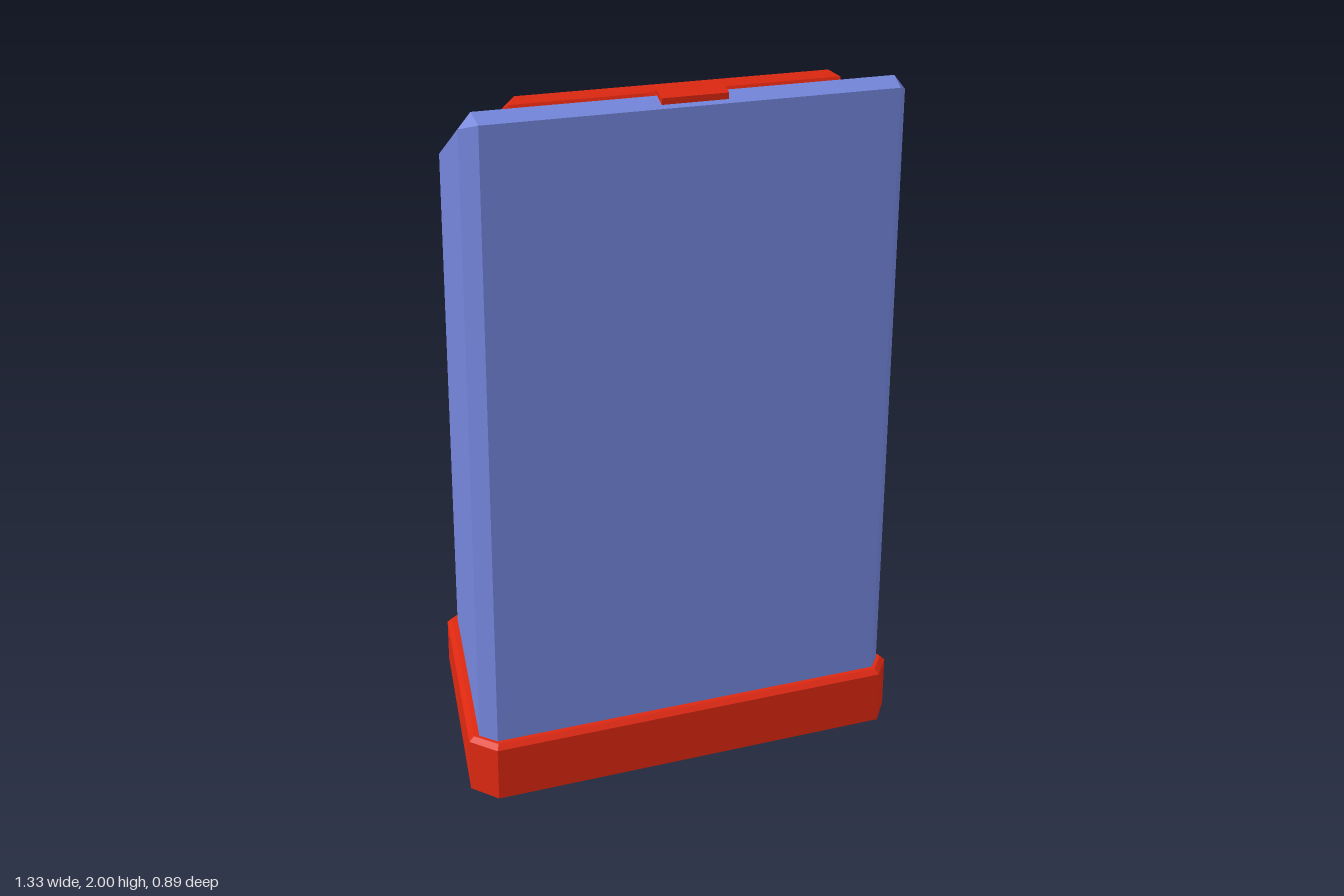
import * as THREE from 'three';

const blue = new THREE.MeshStandardMaterial({ color: 0x7486dc, flatShading: true });
const red = new THREE.MeshStandardMaterial({ color: 0xdd2810, flatShading: true });

// One cross-section: half outline [x, z] from front to back, mirrored in x,
// lying on the sloped plane y = height + slope * z.
function ring(half, height, slope) {
  const outline = [...half, ...half.map(([x, z]) => [-x, z]).reverse()];
  return outline.map(([x, z]) => new THREE.Vector3(x, height + slope * z, z));
}

// Faceted solid through a stack of rings, bottom to top, capped at both ends.
function loft(name, rings, material) {
  const pos = [];
  const tri = (a, b, c) => {
    if (a.equals(b) || b.equals(c) || c.equals(a)) return;
    for (const p of [a, b, c]) pos.push(p.x, p.y, p.z);
  };
  const n = rings[0].length;
  for (let r = 0; r < rings.length - 1; r++) {
    const lo = rings[r], hi = rings[r + 1];
    for (let i = 0; i < n; i++) {
      const j = (i + 1) % n;
      tri(lo[i], lo[j], hi[j]);
      tri(lo[i], hi[j], hi[i]);
    }
  }
  const bottom = rings[0], top = rings[rings.length - 1];
  for (let i = 1; i < n - 1; i++) {
    tri(bottom[0], bottom[i + 1], bottom[i]);
    tri(top[0], top[i], top[i + 1]);
  }
  const geo = new THREE.BufferGeometry();
  geo.setAttribute('position', new THREE.Float32BufferAttribute(pos, 3));
  geo.computeVertexNormals();
  const mesh = new THREE.Mesh(geo, material);
  mesh.name = name;
  return mesh;
}

export function createModel() {
  const model = new THREE.Group();
  model.name = 'bin';
  const tilt = 0.35;

  // Base plinth with a small bevel, its top falling slightly to the back
  const foot = [[0.605, 0.445], [0.665, 0.365], [0.52, -0.39], [0.45, -0.445]];
  const footTop = [[0.597, 0.43], [0.65, 0.362], [0.507, -0.382], [0.442, -0.432]];
  model.add(loft('base', [
    ring(foot, 0, 0), ring(foot, 0.144, 0.03), ring(footTop, 0.158, 0.03),
  ], red));

  // Tapered body with cut corners and a chamfered, sloping top
  const wall = [[0.595, 0.415], [0.635, 0.365], [0.492, -0.37], [0.445, -0.412]];
  const deck = [[0.6, 0.365], [0.6, 0.365], [0.452, -0.385], [0.452, -0.385]];
  model.add(loft('body', [
    ring(wall, 0.1, 0), ring(wall, 1.815, tilt), ring(deck, 1.857, tilt),
  ], blue));

  // Lid panel resting on the slope
  model.add(loft('lid', [
    ring([[0.475, 0.297], [0.358, -0.3]], 1.85, tilt),
    ring([[0.475, 0.287], [0.36, -0.31]], 1.874, tilt),
    ring([[0.452, 0.258], [0.346, -0.304]], 1.899, tilt),
  ], red));

  // Hinge tab wrapping from the lid over the front edge
  const profile = [[0.4, 1.965], [0.4, 1.985], [0.365, 2], [0.28, 1.971], [0.28, 1.93], [0.36, 1.955]];
  const shape = new THREE.Shape(profile.map(([z, y]) => new THREE.Vector2(-z, y)));
  const tabGeo = new THREE.ExtrudeGeometry(shape, { depth: 0.19, bevelEnabled: false });
  tabGeo.translate(0, 0, -0.095).rotateY(Math.PI / 2);
  const tab = new THREE.Mesh(tabGeo, red);
  tab.name = 'hingeTab';
  model.add(tab);

  return model;
}
